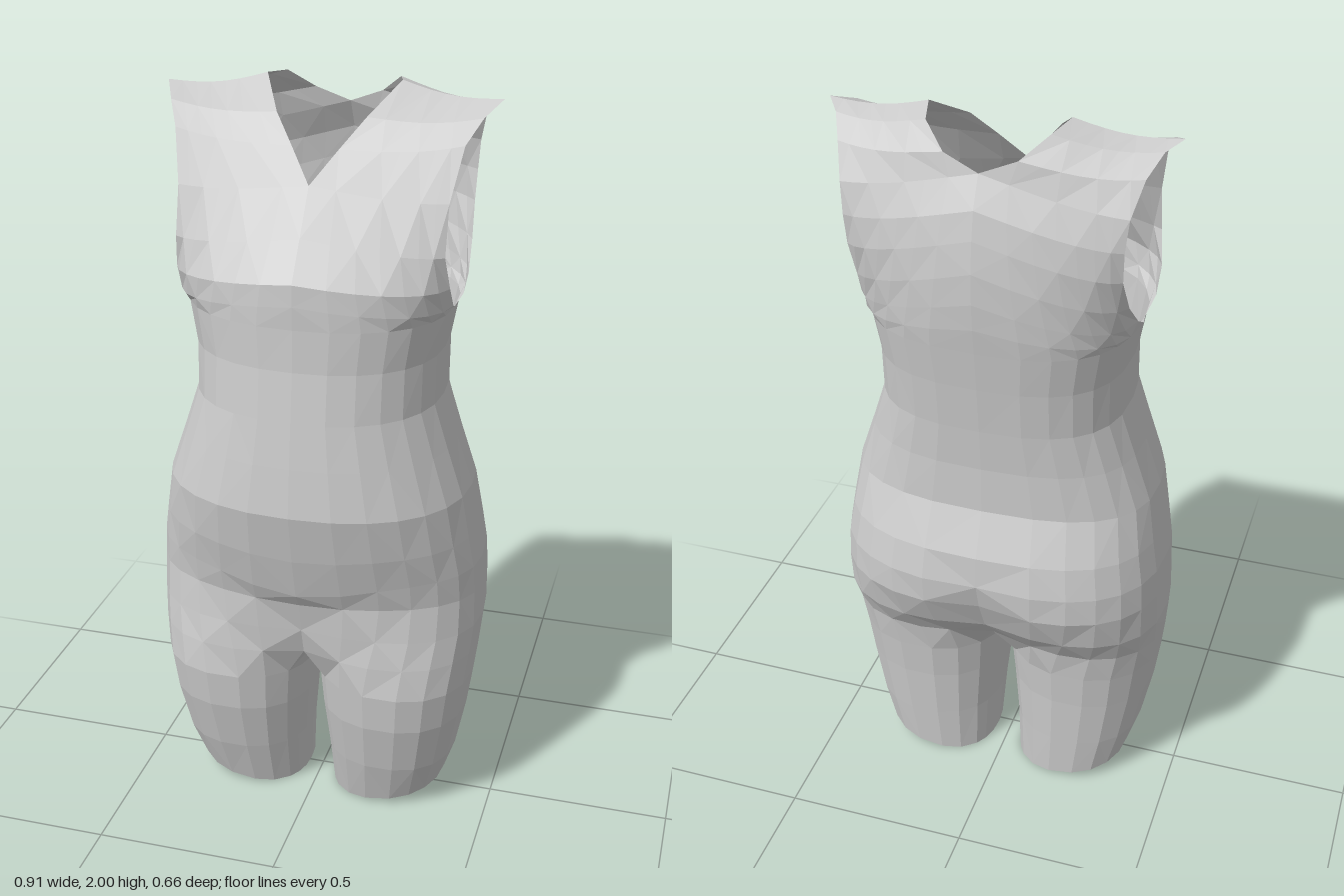
import * as THREE from 'three';

const HALF = 14; // columns from centre front, round the side, to centre back
const INNER = 6; // columns on the inside of the leg
const FRONT = 0.87, BACK = 0.73; // roundness of the cross-sections; lower is squarer
const material = new THREE.MeshStandardMaterial({ color: 0xcccccc, flatShading: true, side: THREE.DoubleSide });

// Rounded-square sine and cosine
const soft = (v, p) => Math.sign(v) * Math.pow(Math.abs(v), p);
const sn = (a, p) => soft(Math.sin(a), p);
const cs = (a, p) => soft(Math.cos(a), p);
const lerp = THREE.MathUtils.lerp;

// Skin a list of equally long rows of [x, y, z]; side = -1 mirrors it to the other half
function skin(name, rows, side, flip = false) {
  const n = rows[0].length;
  const index = [];
  for (let r = 0; r < rows.length - 1; r++) {
    for (let c = 0; c < n - 1; c++) {
      const a = r * n + c, b = a + 1, d = a + n, e = d + 1;
      const tris = (r + c) % 2 ? [a, b, e, a, e, d] : [a, b, d, b, e, d];
      index.push(...((side < 0) !== flip ? tris.reverse() : tris));
    }
  }
  const points = rows.flat().flatMap(([x, y, z]) => [x * side, y, z]);
  let geometry = new THREE.BufferGeometry();
  geometry.setAttribute('position', new THREE.Float32BufferAttribute(points, 3));
  geometry.setIndex(index);
  geometry = geometry.toNonIndexed();
  geometry.computeVertexNormals();
  const mesh = new THREE.Mesh(geometry, material);
  mesh.name = name;
  return mesh;
}

// Body levels: y, half width, front z, back z, back groove, centre dip in y, blend into the thighs
const levels = [
  [0.5, 0.447, 0.25, -0.235, 0, 0, 0.65],
  [0.58, 0.453, 0.25, -0.295, 0.02, 0, 0.3],
  [0.68, 0.45, 0.25, -0.335, 0.03, 0.01, 0.05],
  [0.76, 0.445, 0.272, -0.337, 0.012, 0.05, 0],
  [0.85, 0.43, 0.305, -0.32, 0, 0.02, 0],
  [0.97, 0.41, 0.335, -0.27, 0, 0, 0],
  [1.1, 0.365, 0.32, -0.27, 0, 0, 0],
  [1.22, 0.325, 0.305, -0.28, 0, 0, 0],
  [1.35, 0.325, 0.288, -0.295, 0, 0, 0],
  [1.46, 0.345, 0.285, -0.31, 0, 0, 0],
];

function bodyRow([y, w, front, back, groove, dip, thigh]) {
  const leg = legRow([y, 0, w, front, back]);
  const row = [];
  for (let i = 0; i <= HALF; i++) {
    const a = (i / HALF) * Math.PI;
    const isFront = i <= HALF / 2, isCentre = i % HALF === 0;
    const p = isFront ? FRONT : BACK;
    const x = isCentre ? 0 : lerp(w * sn(a, p), leg[i][0], thigh);
    const z = isFront ? front * cs(a, p) : -back * cs(a, p) + groove * Math.exp(-((x / 0.1) ** 2));
    const drop = isFront ? dip * Math.exp(-((x / 0.2) ** 2)) : 0;
    row.push([x, y - drop, lerp(z, leg[i][2], thigh)]);
  }
  return row;
}

// Leg levels: y, inner x, outer x, front z, back z
const legLevels = [
  [0, 0.04, 0.36, 0.15, -0.18],
  [0.15, 0.032, 0.392, 0.195, -0.19],
  [0.3, 0.018, 0.422, 0.232, -0.2],
  [0.41, 0.008, 0.437, 0.245, -0.212],
];

function legRow([y, inner, outer, front, back]) {
  const row = [];
  const cx = (inner + outer) / 2, rx = (outer - inner) / 2;
  const cz = (front + back) / 2, rz = (front - back) / 2;
  for (let i = 0; i <= HALF + INNER; i++) {
    const degrees = i <= HALF ? -50 + (280 * i) / HALF : 230 + (80 * (i - HALF)) / INNER;
    const a = THREE.MathUtils.degToRad(degrees);
    const x = cx + rx * sn(a, FRONT);
    // The hem rises towards the outside
    row.push([x, y === 0 ? 0.05 * ((x - 0.04) / 0.32) ** 2 : y, cz + rz * cs(a, FRONT)]);
  }
  return row;
}

// The leg's top row follows the body, then crosses the crotch from back to front
function legTop() {
  const row = bodyRow(levels[0]);
  const front = row[0], back = row[HALF];
  for (let j = 1; j <= INNER; j++) {
    const t = j / INNER;
    row.push([0, 0.5 - 0.06 * Math.sin(Math.PI * t), lerp(back[2], front[2], t)]);
  }
  return row;
}

// Centre and neckline edge, and armhole edge, of the upper panels
const frontInner = [[0, 1.46, 0.285], [0, 1.52, 0.287], [0, 1.575, 0.285], [0, 1.67, 0.215],
  [0, 1.78, 0.135], [0.06, 1.86, 0.075], [0.115, 1.93, 0.02], [0.175, 2, -0.1]];
const frontOuter = [[0.345, 1.46, 0], [0.355, 1.485, 0.07], [0.355, 1.545, 0.12], [0.345, 1.63, 0.145],
  [0.345, 1.755, 0.115], [0.368, 1.885, 0.06], [0.4, 1.94, 0], [0.435, 1.972, -0.08]];
const backInner = [[0, 1.46, -0.31], [0, 1.53, -0.32], [0, 1.6, -0.325], [0, 1.68, -0.325],
  [0, 1.76, -0.315], [0, 1.83, -0.3], [0, 1.905, -0.26], [0.09, 1.94, -0.245], [0.15, 1.99, -0.19],
  [0.175, 2, -0.1]];
const backOuter = [[0.345, 1.46, 0], [0.355, 1.475, -0.06], [0.355, 1.51, -0.12], [0.348, 1.58, -0.19],
  [0.342, 1.67, -0.24], [0.345, 1.75, -0.25], [0.352, 1.83, -0.24], [0.373, 1.91, -0.19],
  [0.4, 1.955, -0.13], [0.435, 1.972, -0.08]];

// Rows run from the centre to the armhole: rounded low down, straight at the shoulder
function panelRows(inner, outer, p) {
  return inner.map((from, r) => {
    const to = outer[r], k = r / (inner.length - 1), row = [];
    for (let i = 0; i <= HALF / 2; i++) {
      const t = i / (HALF / 2), a = (t * Math.PI) / 2;
      const fx = lerp(sn(a, p), t, k), fz = lerp(1 - cs(a, p), t, k);
      const sag = 0.015 * k * Math.sin(Math.PI * t);
      row.push([lerp(from[0], to[0], fx), lerp(from[1], to[1], fx) - sag, lerp(from[2], to[2], fz)]);
    }
    return row;
  });
}

export function createModel() {
  const model = new THREE.Group();
  model.name = 'torsoGarment';
  for (const side of [1, -1]) {
    const half = new THREE.Group();
    half.name = side > 0 ? 'leftHalf' : 'rightHalf';
    half.add(
      skin('waistAndHips', levels.map(bodyRow), side),
      skin('leg', [...legLevels.map(legRow), legTop()], side),
      skin('chestPanel', panelRows(frontInner, frontOuter, FRONT), side),
      skin('backPanel', panelRows(backInner, backOuter, BACK), side, true),
    );
    model.add(half);
  }
  return model;
}
